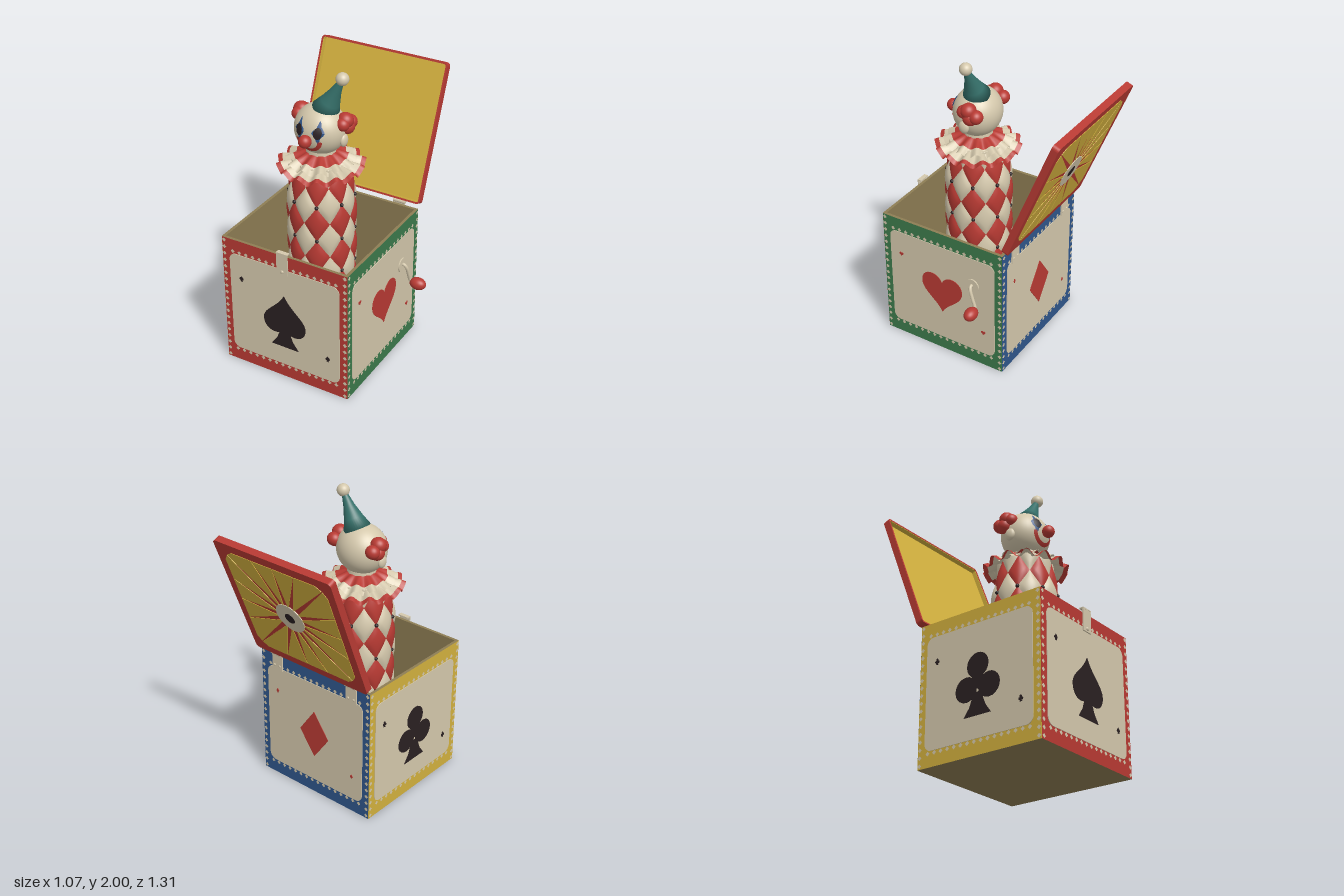
import * as THREE from 'three';
import { mergeGeometries } from 'three/addons/utils/BufferGeometryUtils.js';

const mat = (name, color, side = THREE.FrontSide) => {
  const m = new THREE.MeshStandardMaterial({ color, side });
  m.name = name;
  return m;
};
const CX = -0.075, CZ = 0.18, HALF = 0.455, TOP = 0.93;

export function createModel() {
  const D = THREE.DoubleSide;
  const red = mat('red', 0xb83a33, D), cream = mat('cream', 0xd4c8ac, D), yellow = mat('yellow', 0xd2b03e);
  const green = mat('green', 0x3c7a4c), blue = mat('blue', 0x2f568c), teal = mat('teal', 0x35706a);
  const black = mat('black', 0x2a2022), tan = mat('tan', 0x8e7d54);
  const root = new THREE.Group();
  const add = (parent, name, geo, m, x = 0, y = 0, z = 0) => {
    const mesh = new THREE.Mesh(geo, m);
    mesh.name = name;
    mesh.position.set(x, y, z);
    parent.add(mesh);
    return mesh;
  };
  const group = (name, x, y, z, parent = root) => {
    const g = new THREE.Group();
    g.name = name;
    g.position.set(x, y, z);
    parent.add(g);
    return g;
  };
  const ball = (parent, name, m, r, x, y, z, sx = 1, sy = 1, sz = 1) =>
    add(parent, name, new THREE.SphereGeometry(r, 28, 20), m, x, y, z).scale.set(sx, sy, sz);
  const extrude = (shape, depth) =>
    new THREE.ExtrudeGeometry(shape, { depth, bevelEnabled: false, curveSegments: 10 });

  // Outline of a rounded rectangle
  const rounded = (w, h, r, s = new THREE.Shape()) => {
    const x = w / 2, y = h / 2;
    s.absarc(x - r, y - r, r, 0, Math.PI / 2);
    s.absarc(r - x, y - r, r, Math.PI / 2, Math.PI);
    s.absarc(r - x, r - y, r, Math.PI, Math.PI * 1.5);
    s.absarc(x - r, r - y, r, Math.PI * 1.5, Math.PI * 2);
    return s;
  };
  const frame = (w, h, r, t, depth) => {
    const s = rounded(w, h, r);
    s.holes.push(rounded(w - 2 * t, h - 2 * t, Math.max(r - t, 0.006), new THREE.Path()));
    return extrude(s, depth);
  };

  // Card suits, centred on the panel
  const poly = pts => new THREE.Shape(pts.map(p => new THREE.Vector2(...p)));
  const disc = (x, y, r) => new THREE.Shape().absarc(x, y, r, 0, Math.PI * 2);
  const stem = poly([[-0.1, -0.215], [0.1, -0.215], [0.06, -0.16], [0.025, -0.07], [-0.025, -0.07], [-0.06, -0.16]]);
  const leaf = new THREE.Shape();
  leaf.moveTo(0, 0.18);
  leaf.bezierCurveTo(0.05, 0.08, 0.155, 0.04, 0.155, -0.03);
  leaf.bezierCurveTo(0.155, -0.125, 0.045, -0.14, 0, -0.08);
  leaf.bezierCurveTo(-0.045, -0.14, -0.155, -0.125, -0.155, -0.03);
  leaf.bezierCurveTo(-0.155, 0.04, -0.05, 0.08, 0, 0.18);
  const heart = new THREE.Shape();
  heart.moveTo(0, -0.14);
  heart.bezierCurveTo(0.04, -0.06, 0.155, -0.02, 0.155, 0.065);
  heart.bezierCurveTo(0.155, 0.165, 0.03, 0.175, 0, 0.095);
  heart.bezierCurveTo(-0.03, 0.175, -0.155, 0.165, -0.155, 0.065);
  heart.bezierCurveTo(-0.155, -0.02, -0.04, -0.06, 0, -0.14);
  const sides = [
    ['front', red, black, [leaf, stem]],
    ['right', green, red, [heart]],
    ['back', blue, red, [poly([[0, -0.17], [0.12, 0], [0, 0.17], [-0.12, 0]])]],
    ['left', yellow, black, [disc(0, 0.1, 0.08), disc(-0.085, -0.04, 0.08), disc(0.085, -0.04, 0.08), disc(0, 0, 0.05), stem]],
  ];

  // Open box: four painted walls around a floor
  const box = group('box', CX, 0, CZ);
  add(box, 'floor', new THREE.BoxGeometry(0.9, 0.02, 0.9), tan, 0, 0.01, 0);
  const ticks = [];
  const tick = (x, y) => ticks.push(new THREE.CircleGeometry(0.015, 4).translate(x, y, HALF + 0.002));
  for (let i = 0; i < 19; i++) for (const s of [-1, 1]) tick(s * 0.437, 0.02 + i * 0.0495);
  for (let i = 0; i < 16; i++) for (const y of [0.085, 0.845]) tick(-0.375 + i * 0.05, y);
  const tickGeo = mergeGeometries(ticks);
  sides.forEach(([name, paint, ink, suit], i) => {
    const side = group(name + 'Side', 0, 0, 0, box);
    side.rotation.y = i * Math.PI / 2;
    add(side, 'wall', new THREE.BoxGeometry(0.906, TOP, 0.02), [paint, paint, tan, tan, paint, tan], 0, TOP / 2, HALF - 0.01);
    add(side, 'panel', extrude(rounded(0.8, 0.73, 0.05), 0.004), cream, 0, 0.465, HALF);
    add(side, 'borderTicks', tickGeo, cream);
    add(side, 'suit', extrude(suit, 0.003), ink, 0, 0.455, HALF + 0.004);
    for (const s of [-1, 1])
      add(side, 'smallSuit', extrude(suit, 0.003), ink, s * 0.315, 0.465 - s * 0.195, HALF + 0.004).scale.set(0.1, 0.1, 1);
  });

  // Latch over the front edge
  const latch = group('latch', CX, 0, CZ + HALF);
  add(latch, 'plate', new THREE.BoxGeometry(0.08, 0.155, 0.008), cream, 0, 0.878, 0.012);
  add(latch, 'lip', new THREE.BoxGeometry(0.08, 0.008, 0.03), cream, 0, 0.952, 0.002);
  ball(latch, 'rivet', cream, 0.013, 0, 0.822, 0.016, 1, 1, 0.5);

  // Hinges
  for (const s of [-1, 1]) {
    const hinge = group('hinge', CX + s * 0.31, 0, CZ - HALF);
    add(hinge, 'leaf', new THREE.BoxGeometry(0.085, 0.12, 0.008), cream, 0, 0.88, -0.006);
    add(hinge, 'barrel', new THREE.CylinderGeometry(0.013, 0.013, 0.085, 12).rotateZ(Math.PI / 2), cream, 0, 0.943, -0.012);
    for (const x of [-0.022, 0.022]) ball(hinge, 'rivet', cream, 0.009, x, 0.85, -0.01, 1, 1, 0.5);
  }

  // Lid: a shallow tray leaning back
  const lid = group('lid', CX, 0.958, -0.288);
  lid.rotation.x = -0.375;
  const W = 0.925, H = 0.93, T = 0.046;
  add(lid, 'rim', frame(W, H, 0.025, 0.012, T), red, 0, H / 2, -T / 2);
  add(lid, 'back', extrude(rounded(W - 0.002, H - 0.002, 0.025), 0.01), red, 0, H / 2, -T / 2);
  add(lid, 'lining', frame(W - 0.024, H - 0.024, 0.014, 0.005, T - 0.012), yellow, 0, H / 2, 0.01 - T / 2);
  add(lid, 'inside', extrude(rounded(W - 0.024, H - 0.024, 0.014), 0.004), yellow, 0, H / 2, 0.01 - T / 2);
  const sunburst = group('sunburst', 0, H / 2, -T / 2, lid);
  sunburst.rotation.y = Math.PI;
  const onSquare = (a, h) => {
    const k = Math.min(h / Math.max(Math.abs(Math.cos(a)), Math.abs(Math.sin(a))), 0.53);
    return [k * Math.cos(a), k * Math.sin(a)];
  };
  const rays = [];
  for (let i = 0; i < 16; i++) {
    const a = (i + 0.5) * Math.PI / 8, w = Math.PI / 16;
    rays.push(poly([[0.09 * Math.cos(a), 0.09 * Math.sin(a)], ...[-w, -w / 2, 0, w / 2, w].map(d => onSquare(a + d * 0.98, 0.405))]));
  }
  add(sunburst, 'rays', extrude(rays, 0.003), yellow);
  add(sunburst, 'disc', extrude(disc(0, 0, 0.11), 0.005), cream);
  add(sunburst, 'dot', extrude(disc(0, 0, 0.038), 0.007), black);

  // Crank on the right side
  const crank = group('crank', CX + HALF, 0.62, -0.055);
  add(crank, 'base', new THREE.CylinderGeometry(0.05, 0.05, 0.012, 24).rotateZ(Math.PI / 2), cream, 0.006, 0.005, 0);
  const bend = new THREE.CatmullRomCurve3([[0, 0.01, 0], [0.022, 0.01, 0], [0.036, -0.01, -0.006], [0.042, -0.07, -0.026],
    [0.046, -0.125, -0.045], [0.06, -0.14, -0.05], [0.1, -0.14, -0.05]].map(p => new THREE.Vector3(...p)));
  add(crank, 'arm', new THREE.TubeGeometry(bend, 40, 0.011, 10), cream);
  ball(crank, 'handle', red, 0.042, 0.1, -0.14, -0.05, 1.35, 1, 1);

  // Clown body: puffed diamonds wrapped around a column
  const clown = group('clown', CX + 0.005, 0, CZ + 0.005);
  const radius = y => 0.208 - 0.04 * THREE.MathUtils.smoothstep(y, 1.1, 1.42);
  const diamond = (tc, yc) => {
    const N = 8, pos = [], idx = [];
    for (let j = 0; j <= N; j++) for (let i = 0; i <= N; i++) {
      const a = i / N, b = j / N, t = tc + (a - b) * Math.PI / 8;
      const y = THREE.MathUtils.clamp(yc + (a + b - 1) * 0.12, 0.02, 1.41);
      const r = radius(y) + 0.016 * Math.sqrt(Math.sin(Math.PI * a) * Math.sin(Math.PI * b) + 1e-9);
      pos.push(r * Math.sin(t), y, r * Math.cos(t));
      const k = j * (N + 1) + i;
      if (i < N && j < N) idx.push(k, k + 1, k + N + 2, k, k + N + 2, k + N + 1);
    }
    const g = new THREE.BufferGeometry();
    g.setAttribute('position', new THREE.Float32BufferAttribute(pos, 3));
    g.setIndex(idx);
    g.computeVertexNormals();
    return g;
  };
  const reds = [], creams = [], dots = [];
  for (let row = 0; row < 6; row++) for (let i = 0; i < 8; i++) {
    const t = (i + 0.5) * Math.PI / 4, y = 1.28 - row * 0.24;
    reds.push(diamond(t, y));
    creams.push(diamond(t + Math.PI / 8, y + 0.12));
    if (row < 5) dots.push(new THREE.SphereGeometry(0.013, 8, 6).translate(0.208 * Math.sin(t), y - 0.12, 0.208 * Math.cos(t)));
  }
  add(clown, 'redDiamonds', mergeGeometries(reds), red);
  add(clown, 'creamDiamonds', mergeGeometries(creams), cream);
  add(clown, 'bodyButtons', mergeGeometries(dots), black);

  // Pleated ruff: each ring waves more towards its edge
  const ruffle = (name, m, r0, r1, y0, y1, a0, a1, n) => {
    const g = new THREE.PlaneGeometry(1, 1, n * 8, 4), p = g.attributes.position;
    for (let i = 0; i < p.count; i++) {
      const t = (p.getX(i) + 0.5) * Math.PI * 2, k = 0.5 - p.getY(i), amp = a0 + (a1 - a0) * k;
      const r = r0 + (r1 - r0) * k + 0.4 * amp * Math.cos(n * t);
      p.setXYZ(i, r * Math.sin(t), y0 + (y1 - y0) * k + amp * Math.cos(n * t), r * Math.cos(t));
    }
    g.computeVertexNormals();
    add(clown, name, g, m);
  };
  ruffle('lowerRuff', cream, 0.09, 0.245, 1.42, 1.375, 0, 0.02, 14);
  ruffle('lowerRuffEdge', red, 0.245, 0.272, 1.375, 1.36, 0.02, 0.023, 14);
  ruffle('upperRuff', red, 0.08, 0.165, 1.465, 1.425, 0, 0.012, 12);
  ruffle('upperRuffEdge', cream, 0.165, 0.215, 1.425, 1.395, 0.012, 0.02, 12);

  // Head with its face painted on the surface
  const head = group('head', 0, 1.61, 0, clown);
  const A = 0.168, B = 0.162, C = 0.155;
  add(head, 'skull', new THREE.SphereGeometry(1, 40, 28).scale(A, B, C), cream);
  add(head, 'neck', new THREE.CylinderGeometry(0.09, 0.1, 0.1, 24), cream, 0, -0.16, 0);
  const decal = (name, m, geo, lift) => {
    const p = geo.attributes.position;
    for (let i = 0; i < p.count; i++) {
      const x = p.getX(i), y = p.getY(i);
      p.setZ(i, C * Math.sqrt(Math.max(0, 1 - (x / A) ** 2 - (y / B) ** 2)) + lift);
    }
    geo.computeVertexNormals();
    add(head, name, geo, m);
  };
  for (const s of [-1, 1]) {
    decal('eyePaint', blue, new THREE.RingGeometry(0, 1, 4, 6).scale(0.038, 0.07, 1).translate(s * 0.064, 0.035, 0), 0.004);
    decal('eye', black, new THREE.RingGeometry(0, 1, 20, 4).scale(0.025, 0.036, 1).translate(s * 0.064, 0.035, 0), 0.008);
    ball(head, 'ear', cream, 0.042, s * 0.163, -0.045, 0, 0.5, 1, 0.85);
    for (const [y, z, r] of [[0.075, -0.03, 0.05], [0.045, -0.085, 0.045], [0.06, 0.005, 0.042], [0.03, -0.045, 0.05]])
      ball(head, 'hairTuft', red, r, s * 0.155, y, z, 1.05, 1, 1);
  }
  decal('smile', red, new THREE.RingGeometry(0.066, 0.09, 28, 3, Math.PI + 0.1, Math.PI - 0.2).translate(0, -0.012, 0), 0.005);
  ball(head, 'nose', red, 0.041, 0, -0.015, 0.185);

  // Tilted pointed hat
  const hat = group('hat', 0.032, 1.735, -0.01, clown);
  hat.rotation.z = -0.47;
  add(hat, 'cone', new THREE.LatheGeometry([[0, -0.01], [0.09, 0], [0.062, 0.07], [0.036, 0.15], [0.014, 0.25]]
    .map(p => new THREE.Vector2(...p)), 36), teal);
  ball(hat, 'pompom', cream, 0.041, 0, 0.253, 0);
  return root;
}
